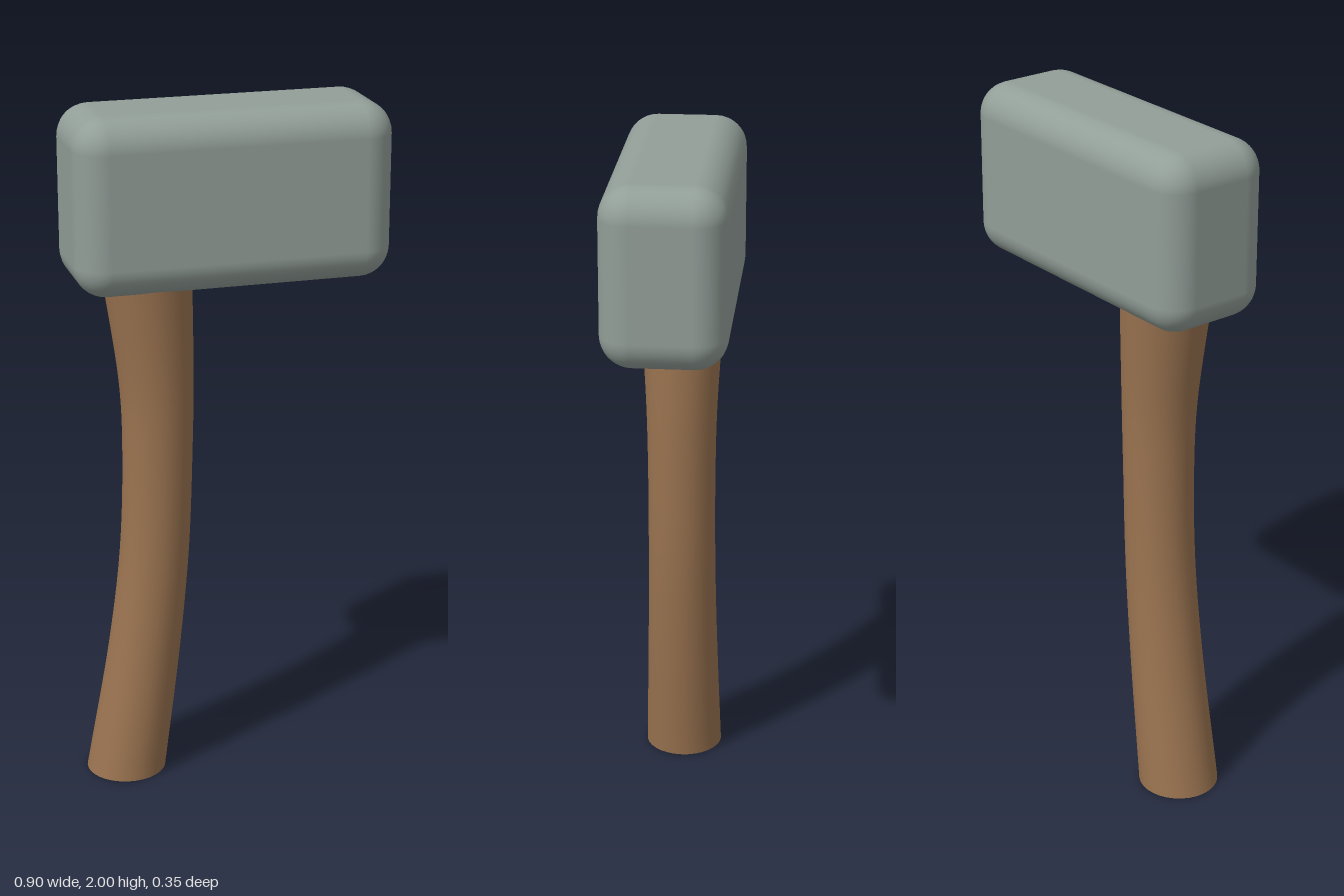
import * as THREE from 'three';
import { mergeVertices } from 'three/addons/utils/BufferGeometryUtils.js';
import { RoundedBoxGeometry } from 'three/addons/geometries/RoundedBoxGeometry.js';

// Handle stations: height, centre x, radius
const STATIONS = [
  [0, -0.307, 0.117],
  [0.4, -0.245, 0.106],
  [0.7, -0.212, 0.101],
  [1.0, -0.2, 0.101],
  [1.2, -0.201, 0.106],
  [1.5, -0.223, 0.125],
  [1.6, -0.232, 0.132],
];

export function createModel() {
  const stone = new THREE.MeshStandardMaterial({ color: 0x929e98 });
  stone.name = 'grey stone';
  const wood = new THREE.MeshStandardMaterial({ color: 0x9a7350 });
  wood.name = 'brown wood';

  const model = new THREE.Group();
  model.name = 'mallet';

  // Rounded block head
  const head = new THREE.Mesh(new RoundedBoxGeometry(0.904, 0.5, 0.346, 5, 0.09), stone);
  head.name = 'head';
  head.position.y = 1.75;
  model.add(head);

  // Handle: round sections swept along a bowed centre line
  const path = new THREE.CatmullRomCurve3(STATIONS.map(([y, x, r]) => new THREE.Vector3(x, y, r)));
  const rings = path.getPoints(36);
  const sides = 32;
  let shaft = new THREE.LatheGeometry(rings.map((p) => new THREE.Vector2(p.z, p.y)), sides);
  const pos = shaft.attributes.position;
  for (let i = 0; i < pos.count; i++) {
    pos.setX(i, pos.getX(i) + rings[i % rings.length].x);
  }
  shaft.deleteAttribute('uv');
  shaft.deleteAttribute('normal');
  shaft = mergeVertices(shaft, 1e-5);
  shaft.computeVertexNormals();

  const handle = new THREE.Group();
  handle.name = 'handle';
  const grip = new THREE.Mesh(shaft, wood);
  grip.name = 'handleShaft';
  handle.add(grip);

  // Flat butt end
  const butt = new THREE.Mesh(new THREE.CircleGeometry(STATIONS[0][2], sides), wood);
  butt.name = 'handleEnd';
  butt.rotation.x = Math.PI / 2;
  butt.position.x = STATIONS[0][1];
  handle.add(butt);
  model.add(handle);

  return model;
}
